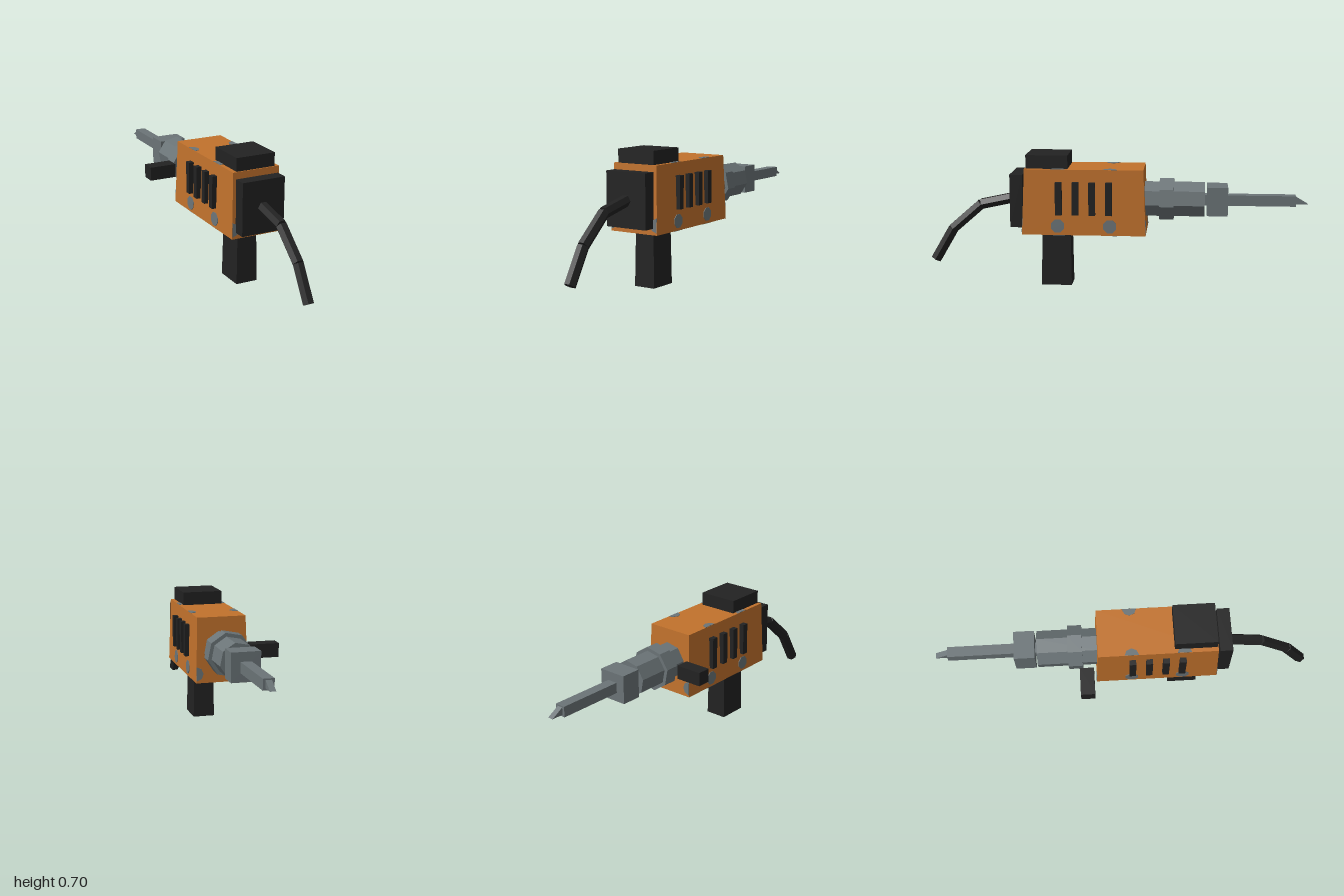
import * as THREE from 'three';

const AXIS_X = 0.059; // centre line of the tool
const AXIS_Y = 0.465; // height of the drilling axis

export function createModel() {
  const model = new THREE.Group();
  model.name = 'powerDrill';
  const material = (name, color) => {
    const m = new THREE.MeshStandardMaterial({ color });
    m.name = name;
    return m;
  };
  const orange = material('orangeCasing', 0xc2722c);
  const black = material('blackRubber', 0x222222);
  const grey = material('greyMetal', 0x6b7477);

  const add = (name, geometry, mat, x = 0, y = 0, z = 0) => {
    const mesh = new THREE.Mesh(geometry, mat);
    mesh.name = name;
    mesh.position.set(x, y, z);
    model.add(mesh);
    return mesh;
  };

  // Box given by its limits on each axis
  const box = (name, mat, [x0, x1], [y0, y1], [z0, z1]) =>
    add(name, new THREE.BoxGeometry(x1 - x0, y1 - y0, z1 - z0), mat,
      (x0 + x1) / 2, (y0 + y1) / 2, (z0 + z1) / 2);

  // Box whose top is scaled in x and z
  const taperedBox = (w, h, d, topX, topZ) => {
    const g = new THREE.BoxGeometry(w, h, d);
    const p = g.attributes.position;
    for (let i = 0; i < p.count; i++) {
      if (p.getY(i) > 0) p.setXYZ(i, p.getX(i) * topX, p.getY(i), p.getZ(i) * topZ);
    }
    const flat = g.toNonIndexed();
    flat.computeVertexNormals();
    return flat;
  };

  // Faceted cylinder along z
  const prismZ = (name, radius, z0, z1) => {
    const g = new THREE.CylinderGeometry(radius, radius, z1 - z0, 8).toNonIndexed();
    g.rotateX(Math.PI / 2);
    g.rotateZ(-Math.PI / 16);
    g.computeVertexNormals();
    add(name, g, grey, AXIS_X, AXIS_Y, (z0 + z1) / 2);
  };

  // Casing, grip and covers
  add('casing', taperedBox(0.279, 0.343, 0.645, 0.925, 0.957), orange, 0.0605, 0.4635, 0.162);
  add('grip', taperedBox(0.118, 0.296, 0.16, 0.92, 0.94), black, AXIS_X, 0.148, 0.315);
  box('topCover', black, [-0.047, 0.168], [0.63, 0.705], [0.247, 0.465]);
  box('rearCover', black, [-0.058, 0.178], [0.325, 0.603], [0.482, 0.549]);
  box('sideHandle', black, [-0.219, -0.073], [0.427, 0.5], [-0.245, -0.171]);

  // Four vents on each side
  for (let i = 0; i < 4; i++) {
    const z = 0.031 + i * 0.0867;
    box('ventRight', black, [-0.098, -0.06], [0.4, 0.571], [z - 0.017, z + 0.017]);
    box('ventLeft', black, [0.18, 0.217], [0.4, 0.571], [z - 0.017, z + 0.017]);
  }

  // Thin metal bolt heads: whole on the sides, halved at the casing edges
  const disc = (half) => {
    const r = 0.037;
    const shape = new THREE.Shape();
    const steps = half ? 4 : 8;
    for (let i = 0; i < (half ? 5 : 8); i++) {
      const a = -Math.PI / 2 + (i / steps) * (half ? Math.PI : 2 * Math.PI) + (half ? 0 : Math.PI / 8);
      if (i === 0) shape.moveTo(r * Math.cos(a), r * Math.sin(a));
      else shape.lineTo(r * Math.cos(a), r * Math.sin(a));
    }
    const g = new THREE.ExtrudeGeometry(shape, { depth: 0.006, bevelEnabled: false });
    return g.translate(0, 0, -0.003);
  };
  for (const s of [-1, 1]) {
    const edge = (half) => 0.0605 + s * half;
    for (const z of [0.026, 0.297]) {
      add('sideBolt', disc(false).rotateY(Math.PI / 2).rotateZ(s * 0.03), grey, edge(0.1381), 0.34, z);
      // Half discs open toward the centre line
      const flat = () => disc(true).rotateX(Math.PI / 2).rotateY(s > 0 ? Math.PI : 0);
      add('topBolt', flat(), grey, edge(0.128), 0.634, z);
      add('bottomBolt', flat(), grey, edge(0.138), 0.293, z);
    }
    for (const [z, tilt] of [[0.482, -0.04], [-0.158, 0.04]]) {
      add('endBolt', disc(true).rotateZ(s > 0 ? Math.PI : 0).rotateX(tilt), grey, edge(0.137), 0.34, z);
    }
  }

  // Chuck with collar, jaw block and bit
  prismZ('chuck', 0.0975, -0.463, -0.15);
  prismZ('chuckCollar', 0.117, -0.302, -0.228);
  box('jawBlock', grey, [-0.017, 0.134], [0.39, 0.54], [-0.583, -0.475]);
  box('bit', grey, [0.031, 0.087], [0.437, 0.492], [-0.936, -0.45]);

  // Wedge tip sloping down to the front edge
  const tip = new THREE.Shape();
  tip.moveTo(0.93, 0.447);
  tip.lineTo(1, 0.447);
  tip.lineTo(0.936, 0.485);
  tip.lineTo(0.93, 0.485);
  const tipGeometry = new THREE.ExtrudeGeometry(tip, { depth: 0.03, bevelEnabled: false });
  tipGeometry.translate(0, 0, -0.015).rotateY(Math.PI / 2);
  add('bitTip', tipGeometry, grey, AXIS_X);

  // Power cord made of straight six-sided lengths
  const path = [[0.463, 0.54], [0.424, 0.722], [0.288, 0.878], [0.118, 0.978]]
    .map(([y, z]) => new THREE.Vector3(AXIS_X, y, z));
  for (let i = 0; i < path.length - 1; i++) {
    const a = path[i], b = path[i + 1];
    const g = new THREE.CylinderGeometry(0.03, 0.03, a.distanceTo(b), 6).toNonIndexed();
    g.rotateY(Math.PI / 2);
    g.rotateX(Math.atan2(b.z - a.z, b.y - a.y));
    g.computeVertexNormals();
    add('cord', g, black, AXIS_X, (a.y + b.y) / 2, (a.z + b.z) / 2);
  }

  return model;
}
